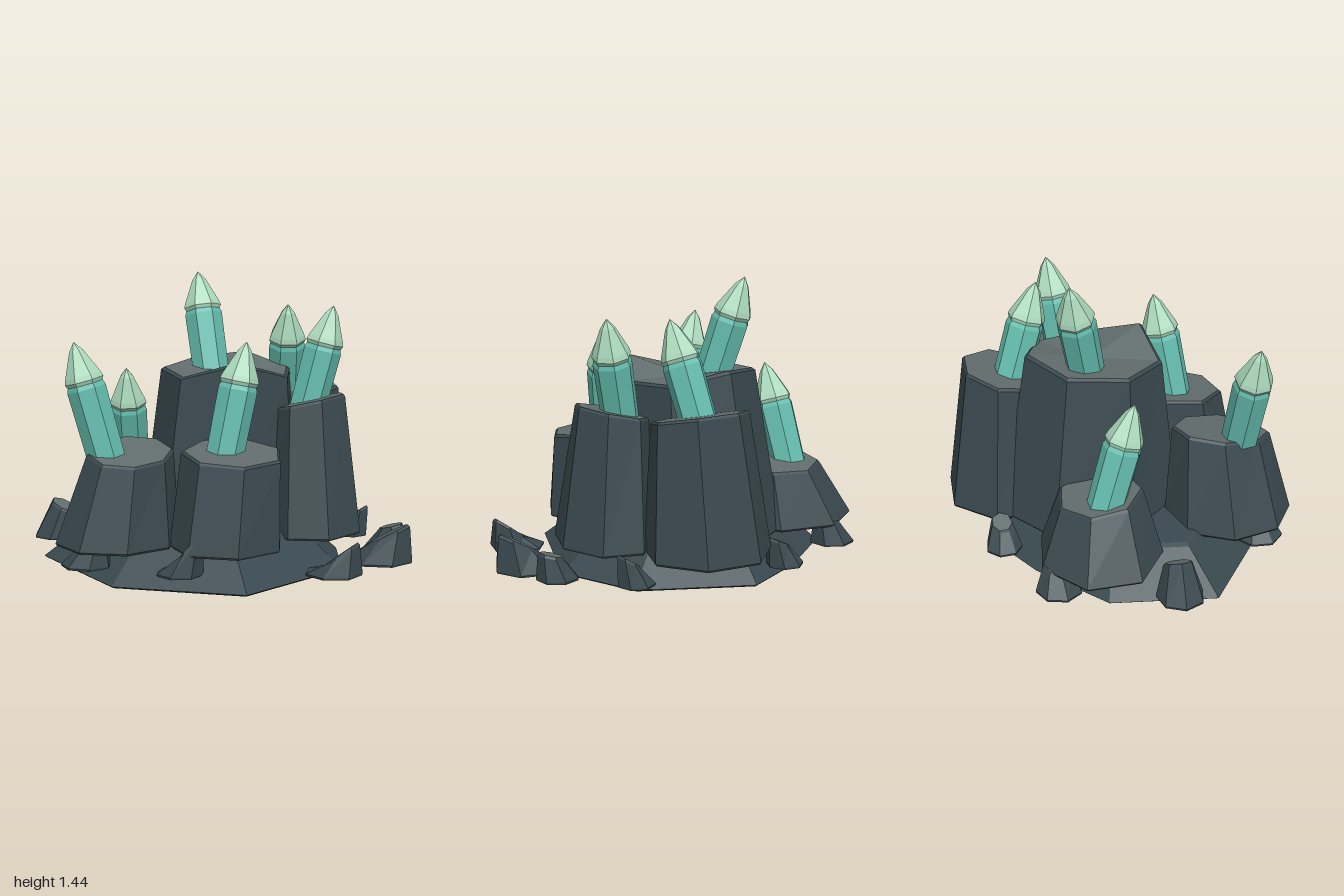
import * as THREE from 'three';

const mat = (color) => new THREE.MeshStandardMaterial({ color, flatShading: true });
const STONE = mat(0x3a4a50), TOP = mat(0x626d6d), BODY = mat(0x66bfb0), TIP = mat(0xaedcbf);

function meshFrom(name, tris, material) {
  const g = new THREE.BufferGeometry();
  g.setAttribute('position', new THREE.Float32BufferAttribute(tris.flat(), 3));
  g.computeVertexNormals();
  const m = new THREE.Mesh(g, material);
  m.name = name;
  return m;
}

const middle = (loop) => [0, 1, 2].map((k) => loop.reduce((s, p) => s + p[k], 0) / loop.length);

// Pull a loop towards its middle by a factor and shift it in y
function inset(loop, f, dy) {
  const c = middle(loop);
  return loop.map(([x, y, z]) => [c[0] + (x - c[0]) * f, y + dy, c[2] + (z - c[2]) * f]);
}

// Regular polygon stretched to fill the rectangle x0..x1, z0..z1; height(x, z, i) is measured from its middle
function polygon(n, turn, [x0, x1, z0, z1], height) {
  const pts = Array.from({ length: n }, (_, i) => {
    const a = THREE.MathUtils.degToRad(turn) - (i / n) * Math.PI * 2;
    return [Math.cos(a), Math.sin(a)];
  });
  const fit = (k, lo, hi) => {
    const v = pts.map((p) => p[k]), min = Math.min(...v), max = Math.max(...v);
    return v.map((t) => lo + ((t - min) / (max - min)) * (hi - lo));
  };
  const xs = fit(0, x0, x1), zs = fit(1, z0, z1);
  return xs.map((x, i) => [x, height(x - (x0 + x1) / 2, zs[i] - (z0 + z1) / 2, i), zs[i]]);
}

// Faceted stone block between two loops, with bevelled rims and a separate top face
function block(name, bottom, top, { bevel = 0.95, dip = 0, cap = TOP } = {}) {
  const loops = [inset(bottom, 0.98, 0), inset(bottom, 1, 0.01), inset(top, 1, -0.012), inset(top, bevel, 0)];
  const side = [], face = [], n = bottom.length;
  const last = loops[3], cb = middle(loops[0]), ct = middle(last);
  ct[1] -= dip;
  for (let i = 0; i < n; i++) {
    const j = (i + 1) % n;
    for (let k = 0; k < 3; k++) {
      const a = loops[k], b = loops[k + 1];
      side.push(a[i], a[j], b[j], a[i], b[j], b[i]);
    }
    side.push(cb, loops[0][j], loops[0][i]);
    face.push(ct, last[i], last[j]);
  }
  const g = new THREE.Group();
  g.name = name;
  g.add(meshFrom(name + 'Sides', side, STONE), meshFrom(name + 'Top', face, cap));
  return g;
}

// Stone pillar: sides, turn, bottom and top rectangles, top height, its slopes in x and z, and corner offsets
function pillar(name, n, turn, low, high, { h, sx = 0, sz = 0, corners = [], dip = 0 }) {
  const top = (x, z, i) => h + sx * x + sz * z + (corners[i] ?? 0);
  return block(name, polygon(n, turn, low, () => 0.17), polygon(n, turn, high, top), { dip });
}

// Loose rock leaning towards +x, its top slanted by tilt
function looseRock(x, z, r, h, tilt, turn) {
  const lean = h * 0.25, t = r * 0.62;
  const low = polygon(7, turn, [x - r, x + r, z - r, z + r], () => 0.07);
  const high = polygon(7, turn, [x + lean - t, x + lean + t, z - t, z + t],
    (dx) => 0.07 + h * (1 - Math.abs(tilt) + (tilt * dx) / t));
  return block('looseRock', low, high, { bevel: 0.88 });
}

// Faceted crystal with a pointed cap, from its foot to its tip
function crystal(foot, tip) {
  const axis = new THREE.Vector3(...tip).sub(new THREE.Vector3(...foot));
  const L = axis.length() - 0.2, r = 0.097;
  const lathe = (name, pts, material) => {
    const m = new THREE.Mesh(new THREE.LatheGeometry(pts.map(([x, y]) => new THREE.Vector2(x, y)), 7), material);
    m.name = name;
    return m;
  };
  const g = new THREE.Group();
  g.name = 'crystal';
  g.add(
    lathe('crystalShaft', [[0, -0.08], [r * 0.95, -0.08], [r, L - 0.03], [r * 0.9, L - 0.005], [0, L - 0.005]], BODY),
    lathe('crystalTip', [[0, L - 0.01], [r * 0.9, L - 0.01], [r, L + 0.01], [r * 0.92, L + 0.035],
      [r * 0.36, L + 0.155], [0, L + 0.2]], TIP));
  g.position.set(...foot);
  g.quaternion.setFromUnitVectors(new THREE.Vector3(0, 1, 0), axis.normalize());
  return g;
}

export function createModel() {
  const model = new THREE.Group();
  model.name = 'crystalRock';

  // Wide sloping base slab
  const foot = [[-0.76, -0.22], [-0.85, 0.3], [-0.26, 0.74], [0.39, 0.65], [0.645, 0],
    [0.48, -0.42], [-0.05, -0.67], [-0.4, -0.5]].map(([x, z]) => [x, 0, z]);
  model.add(block('base', foot, inset(foot, 0.72, 0.2), { cap: STONE }));

  // Rock pillars
  model.add(
    pillar('frontLeftPillar', 8, 10, [-0.63, -0.04, 0.19, 0.82], [-0.48, -0.08, 0.23, 0.72], { h: 0.615, sx: -0.1, sz: -0.13 }),
    pillar('frontRightPillar', 7, 5, [-0.06, 0.47, 0.1, 0.69], [-0.02, 0.46, 0.13, 0.61], { h: 0.625, sx: -0.07, sz: -0.1 }),
    pillar('tallPillar', 7, 8, [-0.44, 0.36, -0.6, 0.28], [-0.33, 0.33, -0.46, 0.21],
      { h: 0.98, corners: [-0.03, -0.02, 0.04, 0.01, -0.01, -0.03, 0.05], dip: 0.03 }),
    pillar('backPillar', 7, -7, [-0.15, 0.47, -0.83, -0.25], [-0.05, 0.44, -0.73, -0.32], { h: 0.84, sz: -0.2 }),
    pillar('rightPillar', 7, 0, [0.27, 0.7, -0.41, 0.18], [0.27, 0.61, -0.33, 0.07], { h: 0.825, sx: 0.22 }),
    pillar('lowLeftPillar', 7, 0, [-0.87, -0.22, -0.52, 0.08], [-0.71, -0.28, -0.41, 0], { h: 0.475, sz: 0.13 }));

  // Loose rocks around the base: x, z, radius, height, tilt
  [[0.84, 0, 0.16, 0.19, 0.25], [0.79, -0.23, 0.1, 0.14, 0.1], [0.71, 0.35, 0.135, 0.16, 0.35],
    [0.53, -0.51, 0.09, 0.16, 0.2], [-0.885, 0.1, 0.115, 0.2, -0.15], [-0.24, -0.63, 0.09, 0.15, 0.15],
    [-0.68, -0.45, 0.11, 0.14, 0.1], [0.04, 0.63, 0.11, 0.2, 0.35], [-0.44, 0.63, 0.12, 0.12, 0.1],
  ].forEach((rock, i) => model.add(looseRock(...rock, i * 20)));

  // Crystals: foot, tip
  [[[-0.12, 0.92, -0.17], [-0.24, 1.44, -0.28]], [[0.17, 0.81, -0.49], [0.235, 1.28, -0.34]],
    [[0.41, 0.82, -0.17], [0.515, 1.29, -0.23]], [[0.16, 0.6, 0.355], [0.24, 1.145, 0.265]],
    [[-0.38, 0.6, 0.54], [-0.525, 1.145, 0.58]], [[-0.585, 0.46, -0.19], [-0.54, 0.95, -0.04]],
  ].forEach(([a, b]) => model.add(crystal(a, b)));
  return model;
}
